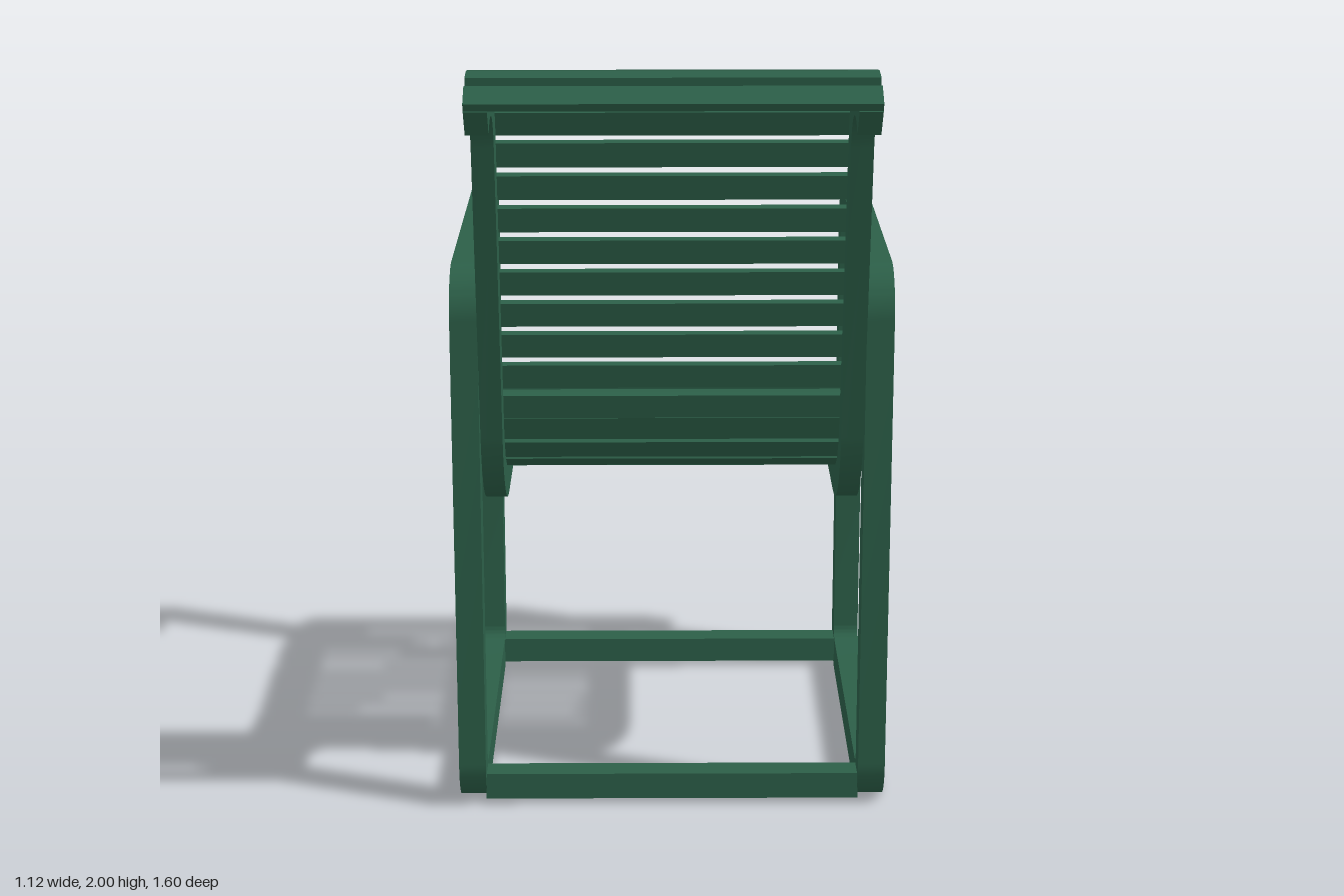
import * as THREE from 'three';
import { toCreasedNormals } from 'three/addons/utils/BufferGeometryUtils.js';

const rad = THREE.MathUtils.degToRad;

// Arcs of the side rail in the (z, y) plane: front lip, seat bend, top scroll.
// side = 1 where the slats sit outside the arc, -1 where they sit inside.
const LIP = { z: -0.59, y: 0.665, r: 0.1475, from: 199, to: 90, side: 1 };
const BEND = { z: 0.08, y: 1.0625, r: 0.25, from: 270, to: 348.3, side: -1 };
const SCROLL = { z: 0.652, y: 1.763, r: 0.1685, from: 168.3, to: 50, side: 1 };
const RAIL_HALF = 0.0425;
const SLAT_OFFSET = 0.0525;

function arcPoint(arc, deg, offset) {
  const r = arc.r + arc.side * offset;
  return new THREE.Vector2(arc.z + r * Math.cos(rad(deg)), arc.y + r * Math.sin(rad(deg)));
}

// Whole rail curve, shifted sideways by an offset
function railEdge(offset) {
  const points = [];
  for (const arc of [LIP, BEND, SCROLL]) {
    for (let i = 0; i <= 14; i++) {
      points.push(arcPoint(arc, THREE.MathUtils.lerp(arc.from, arc.to, i / 14), offset));
    }
  }
  return points;
}

// Extrude a (z, y) outline along x, centred on x = 0
function extrudeAcross(shape, width) {
  const geo = new THREE.ExtrudeGeometry(shape, { depth: width, bevelEnabled: false, curveSegments: 10 });
  geo.translate(0, 0, -width / 2);
  geo.rotateY(-Math.PI / 2);
  return toCreasedNormals(geo, rad(30));
}

function roundedRect(path, z0, y0, z1, y1, r) {
  path.moveTo(z0 + r, y0);
  path.lineTo(z1 - r, y0);
  path.absarc(z1 - r, y0 + r, r, -Math.PI / 2, 0, false);
  path.lineTo(z1, y1 - r);
  path.absarc(z1 - r, y1 - r, r, 0, Math.PI / 2, false);
  path.lineTo(z0 + r, y1);
  path.absarc(z0 + r, y1 - r, r, Math.PI / 2, Math.PI, false);
  path.lineTo(z0, y0 + r);
  path.absarc(z0 + r, y0 + r, r, Math.PI, Math.PI * 1.5, false);
  return path;
}

export function createModel() {
  const chair = new THREE.Group();
  chair.name = 'slattedArmchair';
  const green = new THREE.MeshStandardMaterial({ color: 0x2c5f48 });
  green.name = 'dark green';

  function add(parent, name, geo, x, y, z) {
    const mesh = new THREE.Mesh(geo, green);
    mesh.name = name;
    mesh.position.set(x, y, z);
    parent.add(mesh);
    return mesh;
  }

  // Closed rounded side frames: leg, armrest and foot in one loop
  const frameShape = roundedRect(new THREE.Shape(), -0.695, 0, 0.415, 1.45, 0.125);
  frameShape.holes.push(roundedRect(new THREE.Path(), -0.608, 0.088, 0.328, 1.362, 0.037));
  const frameGeo = extrudeAcross(frameShape, 0.07);

  // Curved rails carrying the slats
  const railShape = new THREE.Shape([...railEdge(-RAIL_HALF), ...railEdge(RAIL_HALF).reverse()]);
  const railGeo = extrudeAcross(railShape, 0.056);

  for (const [side, s] of [['left', 1], ['right', -1]]) {
    add(chair, side + 'Frame', frameGeo, s * 0.523, 0, 0);
    add(chair, side + 'Rail', railGeo, s * 0.46, 0, 0);
  }

  // Floor stretchers between the frames
  const stretcherGeo = new THREE.BoxGeometry(0.98, 0.07, 0.07);
  add(chair, 'frontStretcher', stretcherGeo, 0, 0.05, -0.63);
  add(chair, 'backStretcher', stretcherGeo, 0, 0.05, 0.35);

  // Slats, each facing along its normal angle
  const slats = new THREE.Group();
  slats.name = 'slats';
  chair.add(slats);
  const slatGeo = new THREE.BoxGeometry(0.976, 0.022, 0.064);
  const addSlat = (p, normalDeg) => {
    add(slats, 'slat', slatGeo, 0, p.y, p.x).rotation.x = rad(90 - normalDeg);
  };

  // front lip
  for (let i = 1; i <= 4; i++) addSlat(arcPoint(LIP, 90 + i * 25.2, SLAT_OFFSET), 90 + i * 25.2);
  // flat seat
  for (let i = 0; i < 8; i++) addSlat(new THREE.Vector2(-0.585 + i * 0.0895, 0.865), 90);
  // seat bend
  for (let i = 0; i < 4; i++) {
    const a = 281.5 + i * 20.7;
    addSlat(arcPoint(BEND, a, SLAT_OFFSET), a - 180);
  }
  // straight back
  const low = arcPoint(BEND, BEND.to, SLAT_OFFSET);
  const high = arcPoint(SCROLL, SCROLL.from, SLAT_OFFSET);
  for (let i = 0; i < 9; i++) {
    const t = (0.047 + i * 0.0875) / low.distanceTo(high);
    addSlat(low.clone().lerp(high, t), SCROLL.from);
  }
  // top scroll
  for (let i = 0; i < 5; i++) {
    const a = 59 + i * 25.4;
    addSlat(arcPoint(SCROLL, a, SLAT_OFFSET), a);
  }
  return chair;
}
